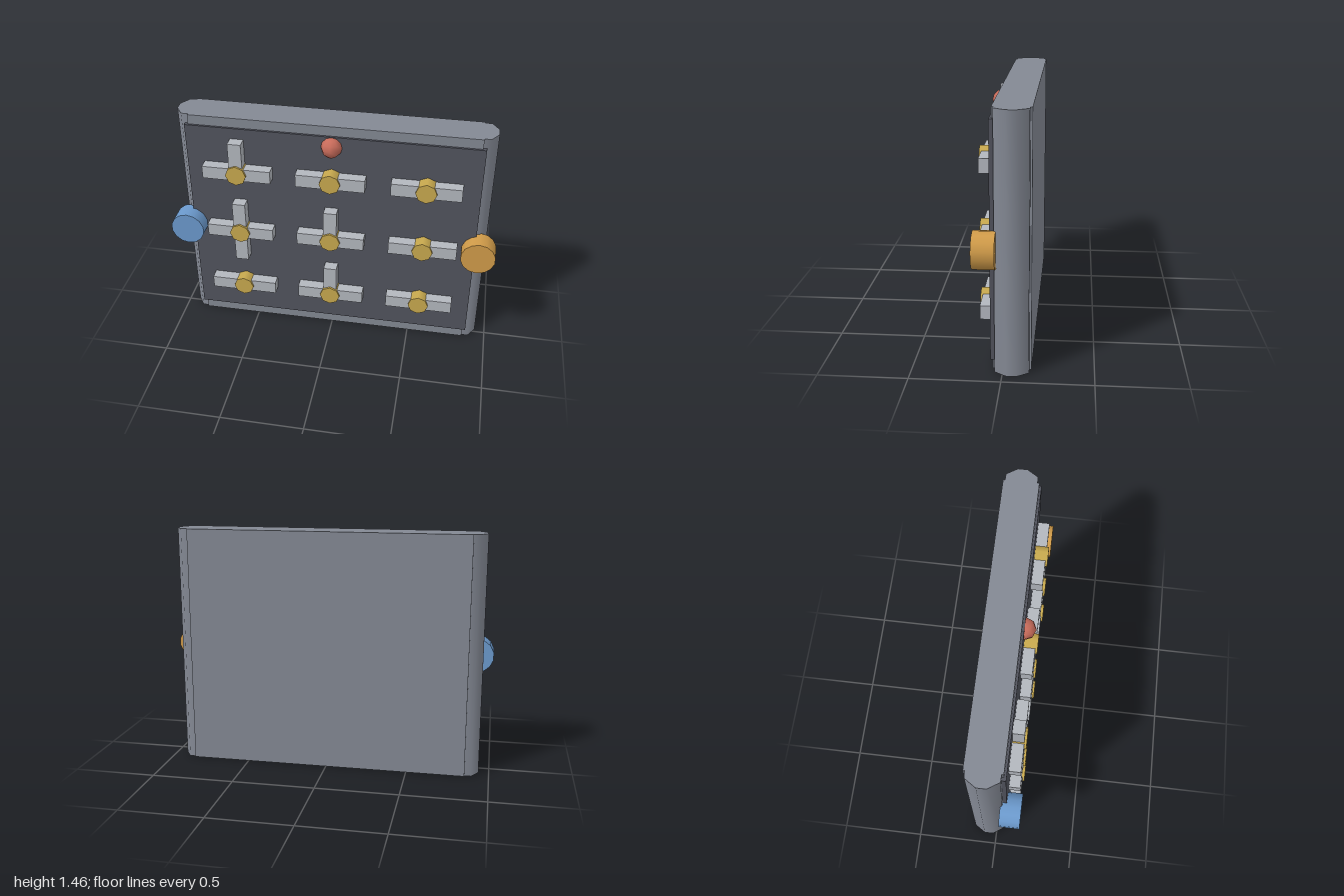
import * as THREE from 'three';
import { toCreasedNormals } from 'three/addons/utils/BufferGeometryUtils.js';

const mat = (name, color) => {
  const m = new THREE.MeshStandardMaterial({ color });
  m.name = name;
  return m;
};

export function createModel() {
  const model = new THREE.Group();
  model.name = 'wallPanel';
  const slate = mat('slate grey', 0x838893);
  const dark = mat('dark grey', 0x51535d);
  const silver = mat('light grey', 0xb3b7be);
  const gold = mat('gold', 0xc8a94e);
  const red = mat('coral red', 0xc96c5b);
  const blue = mat('blue', 0x6b99cc);
  const orange = mat('orange', 0xd09b49);

  const add = (name, geo, material, x, y, z) => {
    const mesh = new THREE.Mesh(geo, material);
    mesh.name = name;
    mesh.position.set(x, y, z);
    model.add(mesh);
    return mesh;
  };
  // Box given by its limits
  const box = (name, material, x0, x1, y0, y1, z0, z1) =>
    add(name, new THREE.BoxGeometry(x1 - x0, y1 - y0, z1 - z0), material,
      (x0 + x1) / 2, (y0 + y1) / 2, (z0 + z1) / 2);
  // Cylinder whose axis points forward
  const disc = (name, material, r, sides, x, y, z0, z1) =>
    add(name, new THREE.CylinderGeometry(r, r, z1 - z0, sides).rotateX(Math.PI / 2),
      material, x, y, (z0 + z1) / 2);

  // Backing slab and the recessed-looking front board
  const height = 1.46, midY = 0.71;
  box('body', slate, -0.855, 0.855, 0, height, -0.155, 0.055);
  box('board', dark, -0.875, 0.875, 0.065, 1.4, 0.04, 0.068);

  // Rounded side rails
  for (const s of [-1, 1]) {
    const profile = new THREE.Shape([
      [0.82, -0.095], [0.895, -0.093], [0.9375, -0.028],
      [0.9375, 0.028], [0.895, 0.093], [0.82, 0.095],
    ].map(([x, z]) => new THREE.Vector2(s * x, z)));
    const geo = new THREE.ExtrudeGeometry(profile, { depth: height, bevelEnabled: false });
    geo.rotateX(-Math.PI / 2);
    add(s > 0 ? 'leftRail' : 'rightRail', toCreasedNormals(geo, 1.05), slate, 0, 0, -0.05);
  }

  // Grid of hubs with crossbars; some have arms going up or down
  const columns = [-0.5625, 0, 0.5625], rows = [0.292, midY, 1.127];
  const upArms = ['0,2', '0,1', '1,1', '1,0'], downArms = ['0,1'];
  const half = 0.206, w = 0.04, z0 = 0.06, z1 = 0.135;
  columns.forEach((x, c) => rows.forEach((y, r) => {
    const key = `${c},${r}`;
    box('crossbar', silver, x - half, x + half, y - w, y + w, z0, z1);
    if (upArms.includes(key)) box('upperArm', silver, x - w, x + w, y + w, y + half, z0, z1);
    if (downArms.includes(key)) box('lowerArm', silver, x - w, x + w, y - half, y - w, z0, z1);
    disc('hub', gold, 0.0625, 8, x, y, z0, 0.148);
  }));

  // Indicator bead and side knobs
  add('indicator', new THREE.SphereGeometry(0.0625, 8, 6), red, 0, 1.335, 0.071);
  disc('rightKnob', blue, 0.104, 14, -0.896, midY, 0.032, 0.155);
  disc('leftKnob', orange, 0.104, 14, 0.896, midY, 0.032, 0.155);

  return model;
}
